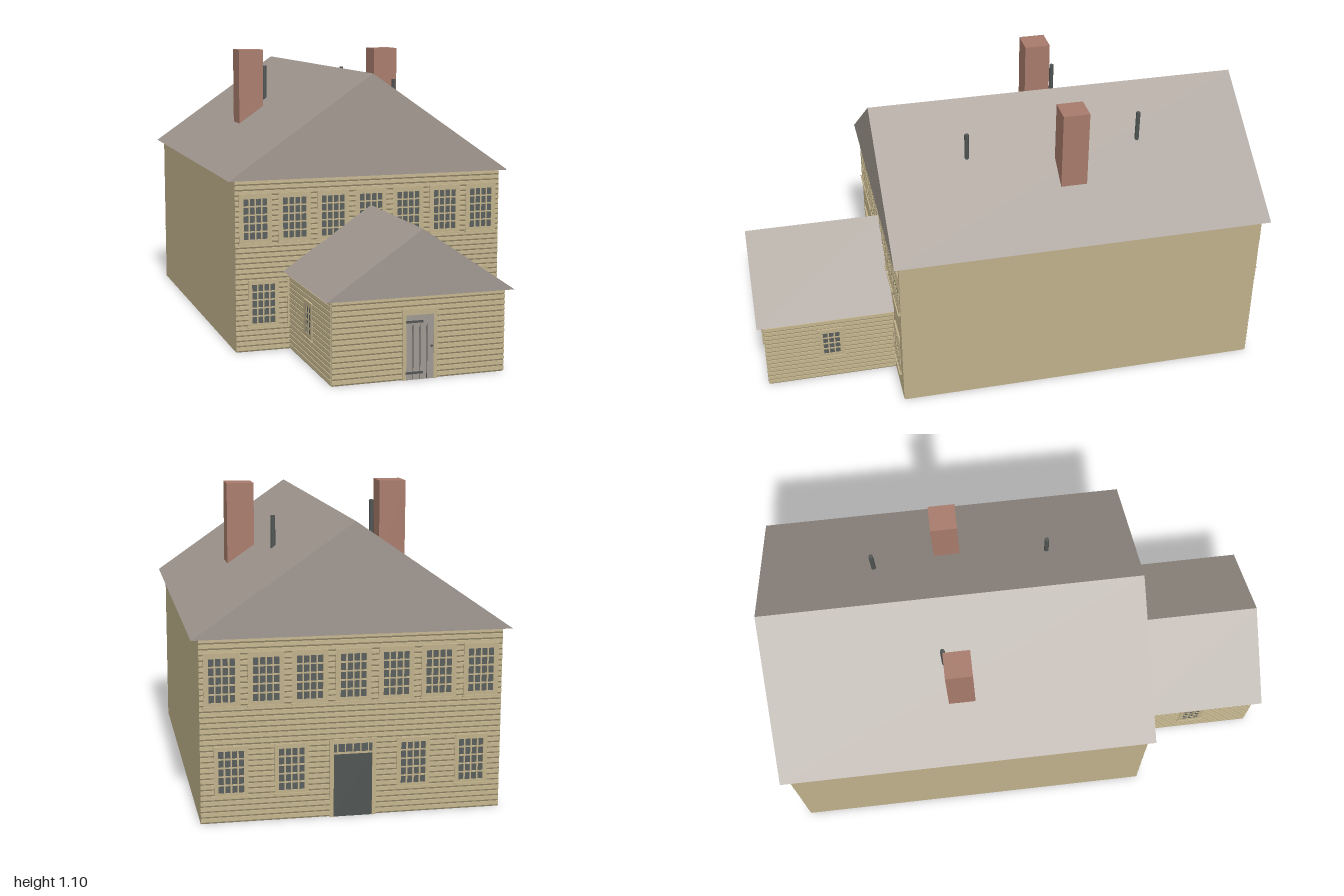
import * as THREE from 'three';

const flat = (name, color, side = THREE.FrontSide) => {
  const m = new THREE.MeshStandardMaterial({ color, side });
  m.name = name;
  return m;
};

export function createModel() {
  const siding = flat('beige siding', 0xbfb08a, THREE.DoubleSide);
  const shingle = flat('grey shingle', 0xa0978f);
  const brick = flat('brick', 0xa67a6a);
  const glass = flat('dark glass', 0x585d5c);
  const iron = flat('dark iron', 0x4f5453);
  const plank = flat('grey door plank', 0x9f9892);

  const house = new THREE.Group();
  house.name = 'house';

  const add = (parent, name, geometry, material, x = 0, y = 0, z = 0) => {
    const mesh = new THREE.Mesh(geometry, material);
    mesh.name = name;
    mesh.position.set(x, y, z);
    parent.add(mesh);
    return mesh;
  };
  const box = (parent, name, w, h, d, material, x, y, z) =>
    add(parent, name, new THREE.BoxGeometry(w, h, d), material, x, y, z);

  // Hollow walls with some of the box sides left out (0..5 = +x -x +y -y +z -z)
  function shell(name, w, h, z0, z1, omit) {
    const g = new THREE.BoxGeometry(w, h, z1 - z0);
    g.setIndex([...g.index.array].filter((_, i) => !omit.includes(Math.floor(i / 6))));
    g.clearGroups();
    add(house, name, g, siding, 0, h / 2, (z0 + z1) / 2);
  }

  // Gabled roof as a triangular prism along z
  function roof(name, halfWidth, eave, ridge, z0, z1) {
    const s = new THREE.Shape([
      new THREE.Vector2(-halfWidth, eave),
      new THREE.Vector2(halfWidth, eave),
      new THREE.Vector2(0, ridge),
    ]);
    const g = new THREE.ExtrudeGeometry(s, { depth: z1 - z0, bevelEnabled: false });
    add(house, name, g, shingle, 0, 0, z0);
  }

  // A wall face whose local +z points outward
  function facade(name, x, z, angle) {
    const f = new THREE.Group();
    f.name = name;
    f.position.set(x, 0, z);
    f.rotation.y = angle;
    house.add(f);
    return f;
  }

  // Overlapping boards: each leans out toward its bottom and has a sloped lower lip
  function clapboards(parent, width, height) {
    const n = Math.round(height / 0.0197), p = height / n;
    const s = new THREE.Shape();
    s.moveTo(0, 0);
    for (let i = 0; i < n; i++) {
      s.lineTo(0.001, i * p);
      s.lineTo(0.005, i * p + 0.006);
      s.lineTo(0.004, (i + 1) * p - 0.0005);
    }
    s.lineTo(0, height);
    const g = new THREE.ExtrudeGeometry(s, { depth: width, bevelEnabled: false });
    g.translate(0, 0, -width / 2);
    g.rotateY(-Math.PI / 2);
    add(parent, 'clapboards', g, siding);
  }

  const rect = (T, x0, y0, x1, y1) => {
    const r = new T();
    r.moveTo(x0, y0);
    r.lineTo(x1, y0);
    r.lineTo(x1, y1);
    r.lineTo(x0, y1);
    r.closePath();
    return r;
  };

  // Frame with a grid of pane openings over a glass plate, plus sill and cap
  function windowAt(parent, x, y, w, h, gw, gh, cols, rows) {
    const win = new THREE.Group();
    win.name = 'window';
    win.position.set(x, y, 0);
    parent.add(win);
    const s = rect(THREE.Shape, -w / 2, -h / 2, w / 2, h / 2);
    const bar = 0.0055, pw = (gw + bar) / cols, ph = (gh + bar) / rows;
    for (let i = 0; i < cols; i++)
      for (let j = 0; j < rows; j++) {
        const px = -gw / 2 + i * pw, py = -gh / 2 + j * ph;
        s.holes.push(rect(THREE.Path, px, py, px + pw - bar, py + ph - bar));
      }
    const g = new THREE.ExtrudeGeometry(s, { depth: 0.003, bevelEnabled: false });
    add(win, 'windowFrame', g, siding, 0, 0, 0.006);
    box(win, 'windowGlass', gw + 0.004, gh + 0.004, 0.006, glass, 0, 0, 0.004);
    box(win, 'windowSill', w + 0.006, 0.006, 0.014, siding, 0, -h / 2, 0.007);
    box(win, 'windowCap', w, 0.005, 0.011, siding, 0, h / 2, 0.0055);
  }

  // Door surround: two posts and a head
  function doorFrame(parent, half, post, height, head) {
    for (const s of [-1, 1])
      box(parent, 'doorPost', post, height, 0.01, siding, s * (half - post / 2), height / 2, 0.005);
    box(parent, 'doorHead', half * 2 + 0.004, head, 0.011, siding, 0, height - head / 2, 0.0055);
  }

  // Main house and front wing bodies
  shell('mainWalls', 1.06, 0.649, -0.97, 0.455, [3]);
  shell('wingWalls', 0.638, 0.299, 0.455, 0.972, [3, 5]);
  roof('mainRoof', 0.557, 0.65, 1.035, -1, 0.48);
  roof('wingRoof', 0.347, 0.3, 0.535, 0.448, 1);

  // Long rows of windows on the main front and back
  const front = facade('mainFront', 0, 0.455, 0);
  const back = facade('mainBack', 0, -0.97, Math.PI);
  for (const f of [front, back]) {
    clapboards(f, 1.06, 0.649);
    for (let i = -3; i <= 3; i++) windowAt(f, i * 0.151, 0.504, 0.125, 0.186, 0.09, 0.152, 4, 5);
    const inner = f === front ? 0.272 : 0.215;
    for (const x of [-0.424, -inner, inner, 0.424])
      windowAt(f, x, 0.182, 0.118, 0.176, 0.088, 0.148, 4, 5);
  }

  // Back door with a row of lights above it
  doorFrame(back, 0.082, 0.014, 0.278, 0.016);
  box(back, 'backDoor', 0.136, 0.225, 0.008, iron, 0, 0.1125, 0.004);
  box(back, 'transomGlass', 0.136, 0.03, 0.007, glass, 0, 0.247, 0.0035);
  box(back, 'transomBar', 0.136, 0.007, 0.009, siding, 0, 0.2285, 0.0045);
  for (let i = -2; i <= 2; i++)
    box(back, 'transomMullion', 0.004, 0.03, 0.009, siding, i * 0.0272, 0.247, 0.0045);

  // Wing siding, side windows and plank door
  const wingFront = facade('wingFront', 0, 0.972, 0);
  clapboards(wingFront, 0.638, 0.299);
  for (const s of [-1, 1]) {
    const side = facade('wingSide', s * 0.319, 0.7135, s * Math.PI / 2);
    clapboards(side, 0.517, 0.299);
    windowAt(side, 0, 0.172, 0.1, 0.135, 0.066, 0.1, 3, 4);
  }
  doorFrame(wingFront, 0.064, 0.013, 0.253, 0.022);
  box(wingFront, 'frontDoor', 0.103, 0.231, 0.008, plank, 0, 0.1155, 0.004);
  for (const x of [-0.026, 0, 0.026])
    box(wingFront, 'plankGap', 0.003, 0.195, 0.001, iron, x, 0.1, 0.0082);
  for (const y of [0.025, 0.207])
    box(wingFront, 'strapHinge', 0.065, 0.008, 0.003, iron, -0.021, y, 0.009);
  box(wingFront, 'doorKnob', 0.007, 0.007, 0.005, iron, 0.043, 0.117, 0.0095);

  // Chimneys and vent pipes
  for (const s of [-1, 1])
    box(house, 'chimney', 0.103, 0.35, 0.103, brick, s * 0.297, 0.925, -0.26);
  for (const [x, z, top] of [[0.21, 0.133, 0.99], [0.21, -0.55, 1.005], [-0.213, -0.312, 1.028]]) {
    const h = top - 0.86;
    add(house, 'ventPipe', new THREE.CylinderGeometry(0.009, 0.009, h, 8), iron, x, top - h / 2, z);
  }
  return house;
}
